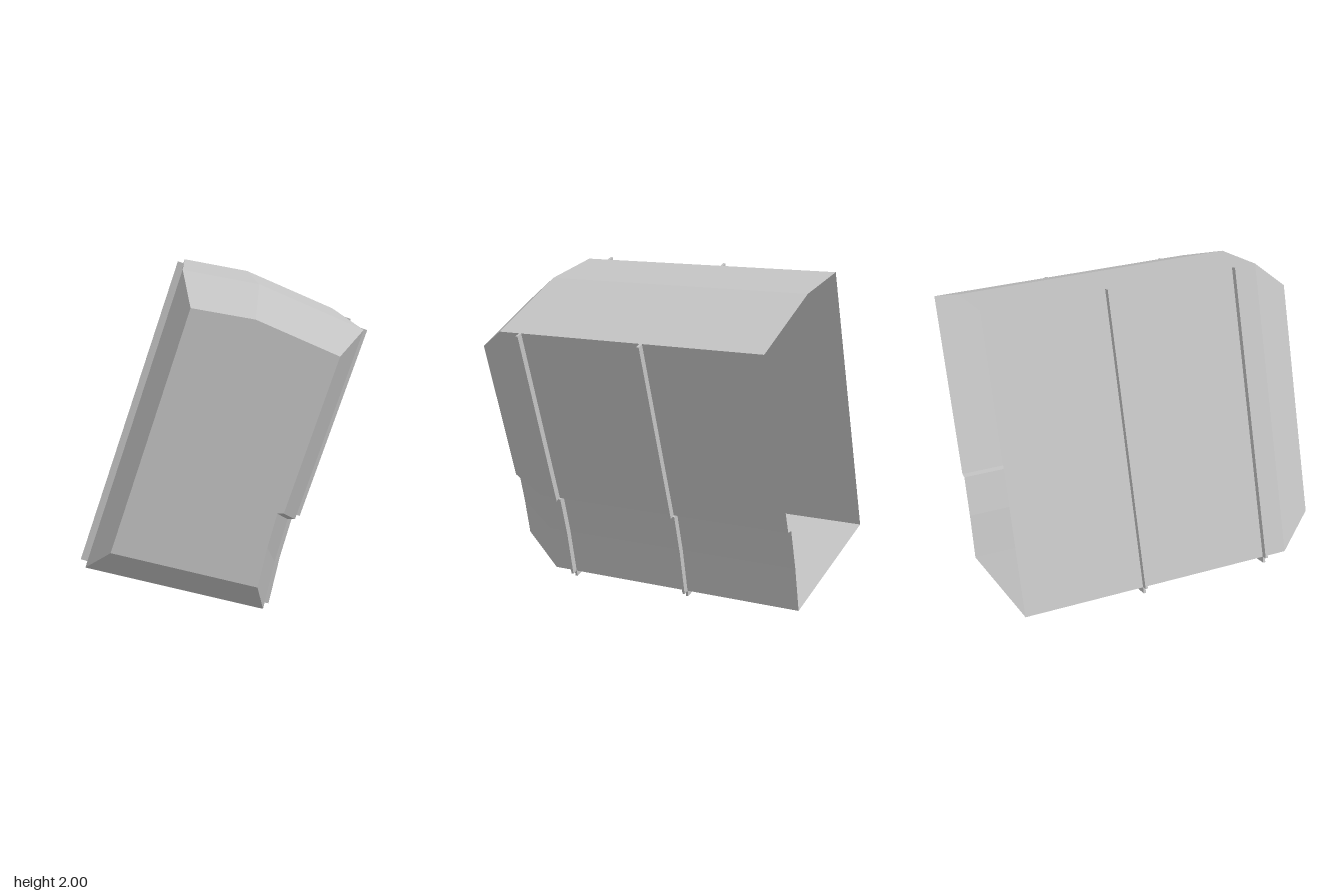
import * as THREE from 'three';

// Cross-section of the body (anticlockwise) and its smaller copy at the front
const BODY = [[-0.79, 0.295], [0.23, 0.043], [0.295, 0.325], [0.368, 0.573], [0.41, 0.573], [0.785, 1.655], [0.2, 1.91], [-0.225, 1.99]];
const FRONT = [[-0.63, 0.438], [0.186, 0.236], [0.24, 0.465], [0.294, 0.658], [0.33, 0.658], [0.63, 1.53], [0.17, 1.732], [-0.182, 1.795]];
const BACK_Z = -0.958, BEVEL_Z = 0.729, FRONT_Z = 0.958;

// Flat-sided band joining two matching cross-sections
function band(a, za, b, zb) {
  const pos = [];
  a.forEach((p, i) => {
    const j = (i + 1) % a.length;
    const q = a[j], r = b[j], s = b[i];
    pos.push(...p, za, ...q, za, ...r, zb, ...p, za, ...r, zb, ...s, zb);
  });
  const geo = new THREE.BufferGeometry();
  geo.setAttribute('position', new THREE.Float32BufferAttribute(pos, 3));
  geo.computeVertexNormals();
  return geo;
}

// Thin rib standing out from a run of body edges, running anticlockwise
function ribGeometry(points, height, width) {
  const pts = points.map((p) => new THREE.Vector2(...p));
  const outer = pts.map((p, i) => {
    const d = pts[Math.min(i + 1, pts.length - 1)].clone().sub(pts[Math.max(i - 1, 0)]).normalize();
    return new THREE.Vector2(p.x + d.y * height, p.y - d.x * height);
  });
  const shape = new THREE.Shape([...outer, ...pts.reverse()]);
  return new THREE.ExtrudeGeometry(shape, { depth: width, bevelEnabled: false }).translate(0, 0, -width / 2);
}

export function createModel() {
  const group = new THREE.Group();
  const grey = new THREE.MeshStandardMaterial({ name: 'plainGrey', color: 0xc4c4c4, side: THREE.DoubleSide, flatShading: true });
  const add = (name, geo, z = 0) => {
    const mesh = new THREE.Mesh(geo, grey);
    mesh.name = name;
    mesh.position.z = z;
    group.add(mesh);
  };

  // Hollow shell, open at the back
  add('shell', band(BODY, BACK_Z, BODY, BEVEL_Z));
  add('frontBevel', band(BODY, BEVEL_Z, FRONT, FRONT_Z));
  add('frontPanel', new THREE.ShapeGeometry(new THREE.Shape(FRONT.map((p) => new THREE.Vector2(...p)))), FRONT_Z);

  // Two rows of ribs along the base and both sides
  const runs = {
    baseRib: [BODY[0], BODY[1]],
    lowerSideRib: [BODY[1], BODY[2], BODY[3]],
    upperSideRib: [BODY[4], BODY[5]],
    longSideRib: [BODY[7], BODY[0]],
  };
  for (const z of [0.585, -0.215]) {
    for (const [name, run] of Object.entries(runs)) add(name, ribGeometry(run, 0.04, 0.015), z);
  }
  return group;
}
